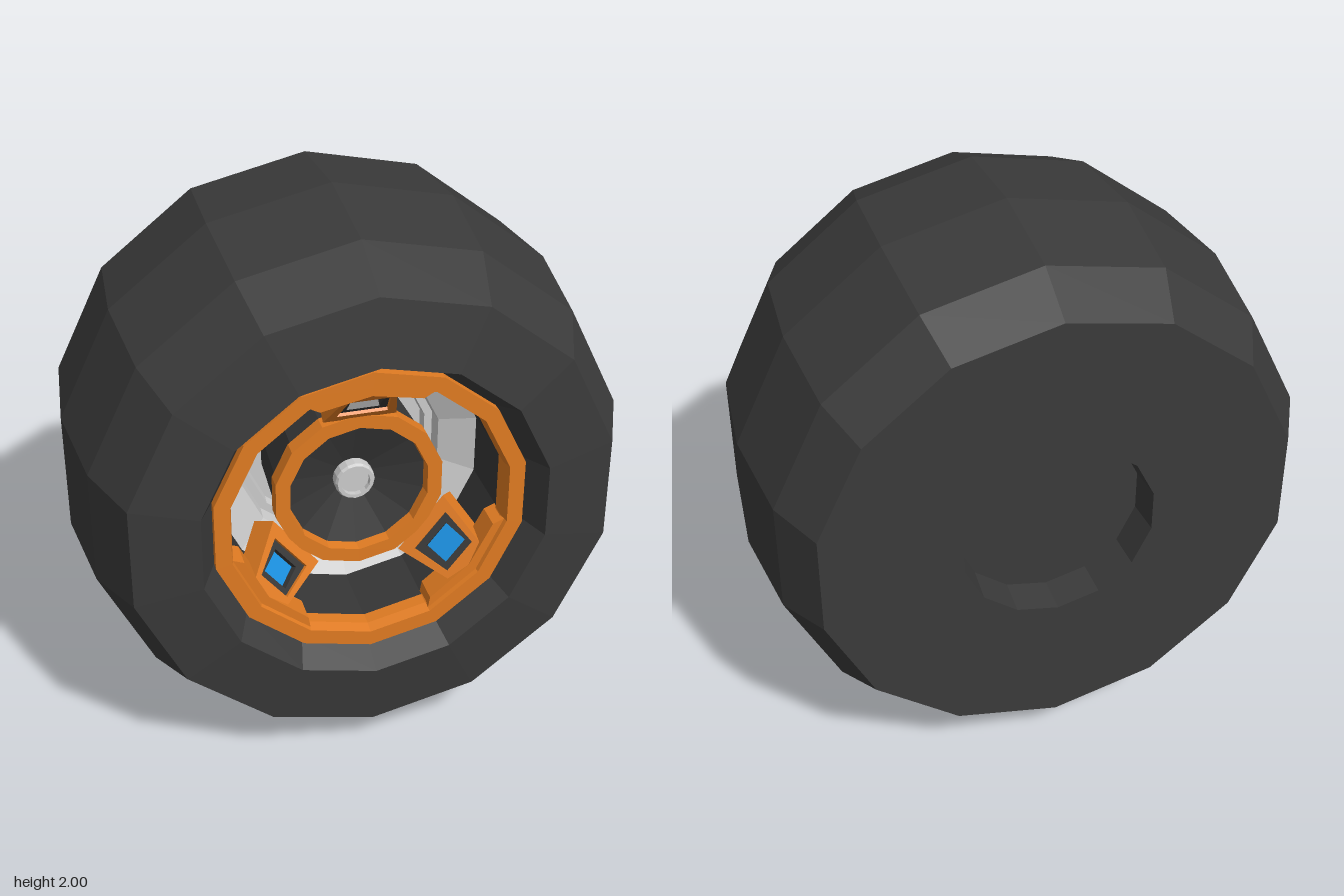
import * as THREE from 'three';

const SIDES = 14;
const STEP = (Math.PI * 2) / SIDES;

function paint(color) {
  return new THREE.MeshStandardMaterial({ color, flatShading: true, side: THREE.DoubleSide });
}

export function createModel() {
  const model = new THREE.Group();
  model.name = 'wheel';
  const wheel = new THREE.Group();
  wheel.name = 'wheelAssembly';
  wheel.position.y = 1;
  model.add(wheel);

  const rubber = paint(0x3a3a3a);
  const dark = paint(0x363636);
  const orange = paint(0xe07b22);
  const blue = paint(0x1590e0);
  const grey = paint(0xcccccc);

  function add(parent, name, geometry, material) {
    const mesh = new THREE.Mesh(geometry, material);
    mesh.name = name;
    parent.add(mesh);
    return mesh;
  }

  // Ring turned about the z axle from [radius, z] points
  function turned(name, points, material, sides = SIDES) {
    const geo = new THREE.LatheGeometry(points.map(([r, z]) => new THREE.Vector2(r, z)), sides);
    geo.rotateX(Math.PI / 2);
    return add(wheel, name, geo, material);
  }

  // Extruded outline whose front face lies on local z = 0
  function plate(points, hole, depth) {
    const toPoints = (list) => list.map(([x, y]) => new THREE.Vector2(x, y));
    const shape = new THREE.Shape(toPoints(points));
    if (hole) shape.holes.push(new THREE.Path(toPoints(hole)));
    const geo = new THREE.ExtrudeGeometry(shape, { depth, bevelEnabled: false });
    geo.translate(0, 0, -depth);
    return geo;
  }

  // Symmetric four-sided outline
  function trapezoid(y0, w0, y1, w1) {
    return [[-w0, y0], [w0, y0], [w1, y1], [-w1, y1]];
  }

  // Tyre with recessed back and an open front well
  turned('tire', [
    [0, -0.46], [0.34, -0.46], [0.35, -0.585], [0.86, -0.585], [0.96, -0.4],
    [1, -0.03], [0.96, 0.34], [0.863, 0.56], [0.622, 0.59], [0.56, 0.47],
  ], rubber);

  // Rim lip and the deep well behind it
  turned('rimLip', [
    [0.56, 0.4], [0.563, 0.51], [0.505, 0.51], [0.495, 0.47], [0.495, 0.42],
  ], orange);
  turned('rimWell', [[0.5, 0.45], [0.498, 0.17]], dark);
  turned('rimDish', [
    [0.498, 0.17], [0.375, 0.1], [0.37, 0.04], [0.34, 0.04], [0.335, 0], [0, 0],
  ], grey);

  // Hub
  turned('hubBarrel', [[0.28, 0], [0.295, 0.3]], dark);
  turned('hubRing', [
    [0.28, 0.27], [0.308, 0.29], [0.308, 0.35], [0.255, 0.35], [0.25, 0.3],
  ], orange);
  turned('hubDish', [[0.255, 0.31], [0, 0.23]], dark);
  turned('axleCap', [
    [0.072, 0.22], [0.072, 0.29], [0.066, 0.3], [0.053, 0.3], [0.053, 0.28], [0, 0.28],
  ], grey, 16);

  // Three spokes, each centred on a corner of the rim
  const slope = Math.atan2(0.14, 0.16);
  for (const corner of [0, 5, 9]) {
    const spoke = new THREE.Group();
    spoke.name = 'spoke';
    spoke.rotation.z = corner * STEP;
    wheel.add(spoke);

    // Pad thickening the lip over two sides
    const outer = [-1, 0, 1].map((k) => [0.5 * Math.sin(k * STEP), 0.5 * Math.cos(k * STEP)]);
    const inner = [0.88, 0, -0.88].map((k) => [0.465 * Math.sin(k * STEP), 0.465 * Math.cos(k * STEP)]);
    const pad = add(spoke, 'rimPad', plate([...outer, ...inner], null, 0.1), orange);
    pad.position.z = 0.495;

    // Sloping window from the hub up to the lip
    const arm = new THREE.Group();
    arm.name = 'spokeWindow';
    arm.position.set(0, 0.3, 0.35);
    arm.rotation.x = slope;
    spoke.add(arm);
    const opening = trapezoid(0.035, 0.09, 0.175, 0.072);
    add(arm, 'spokeFrame', plate(trapezoid(-0.01, 0.13, 0.22, 0.085), opening, 0.1), orange);
    const bezel = add(arm, 'windowBezel',
      plate(opening, trapezoid(0.06, 0.058, 0.15, 0.058), 0.03), dark);
    bezel.position.z = -0.012;
    const pane = add(arm, 'windowPane', plate(opening, null, 0.02), blue);
    pane.position.z = -0.035;
  }

  return model;
}
